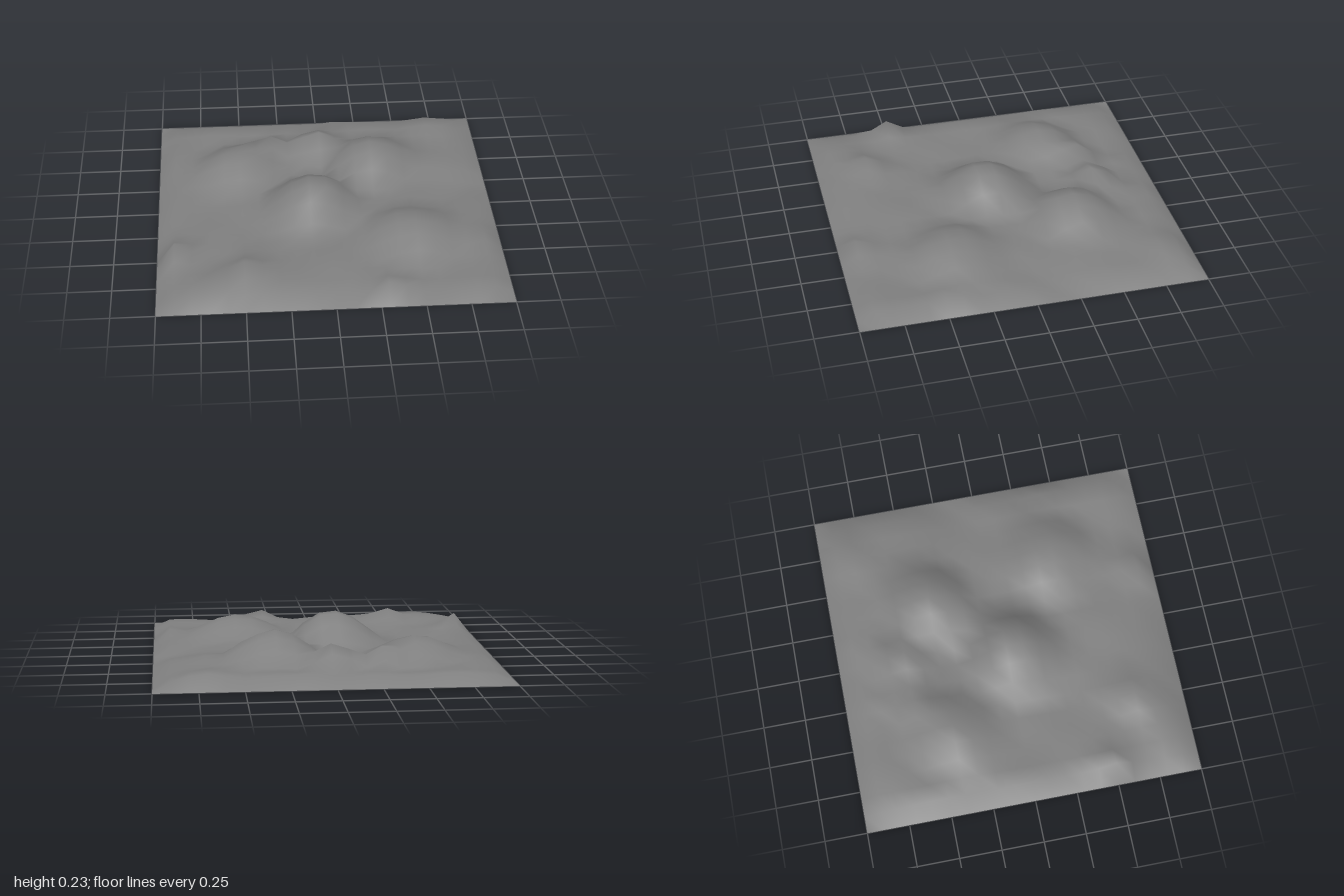
import * as THREE from 'three';

// Hills, spikes and dips: x, z, height above the ground, radius
const HILLS = [
  [-0.09, 0.05, 0.185, 0.3],
  [0.3, -0.4, 0.165, 0.3],
  [0.49, 0.38, 0.12, 0.3],
  [-0.5, -0.4, 0.12, 0.28],
  // back ridge with two peaks
  [-0.3, -0.6, 0.105, 0.14],
  [-0.01, -0.62, 0.115, 0.17],
  [-0.15, -0.55, 0.035, 0.22],
  // small bumps
  [-0.9, 0.5, 0.07, 0.12],
  [-0.5, 0.7, 0.075, 0.14],
  [-0.4, 0.8, 0.03, 0.13],
  [-0.7, 0.83, 0.025, 0.25],
  [0.32, 0.9, 0.04, 0.14],
  [0.1, -0.9, 0.025, 0.14],
  [0.7, -0.85, 0.025, 0.18],
  [0.9, 0.45, 0.025, 0.15],
  [0.62, -0.38, 0.03, 0.2],
  // shallow dips near the rim
  [0.17, 0.9, -0.02, 0.12],
  [-0.1, 0.95, -0.015, 0.3],
  [0.7, 0.95, -0.015, 0.35],
  [0.9, -0.15, -0.025, 0.15],
];

// Gentle rolling ground plus rounded hills
function heightAt(x, z) {
  let h = 0.05
    + 0.007 * Math.sin(5.1 * x + 2.3 * z + 0.6)
    + 0.006 * Math.sin(7.3 * z - 3.1 * x + 1.9)
    + 0.007 * Math.sin(13 * x + 1) * Math.cos(11 * z);
  for (const [hx, hz, height, radius] of HILLS) {
    const r = Math.min(Math.hypot(x - hx, z - hz) / radius, 1);
    h += height * Math.cos(r * Math.PI / 2);
  }
  return h;
}

export function createModel() {
  const group = new THREE.Group();
  group.name = 'terrain';

  // Square sheet of 20 x 20 cells, its rim pinned to the ground
  const geometry = new THREE.PlaneGeometry(2, 2, 20, 20);
  geometry.rotateX(-Math.PI / 2);
  const p = geometry.attributes.position;
  for (let i = 0; i < p.count; i++) {
    const x = p.getX(i), z = p.getZ(i);
    const rim = Math.max(Math.abs(x), Math.abs(z)) > 0.99;
    p.setY(i, rim ? 0 : heightAt(x, z));
  }
  geometry.computeVertexNormals();

  const ground = new THREE.Mesh(geometry, new THREE.MeshStandardMaterial({
    color: 0x808080, side: THREE.DoubleSide,
  }));
  ground.name = 'hillyGround';
  group.add(ground);
  return group;
}
